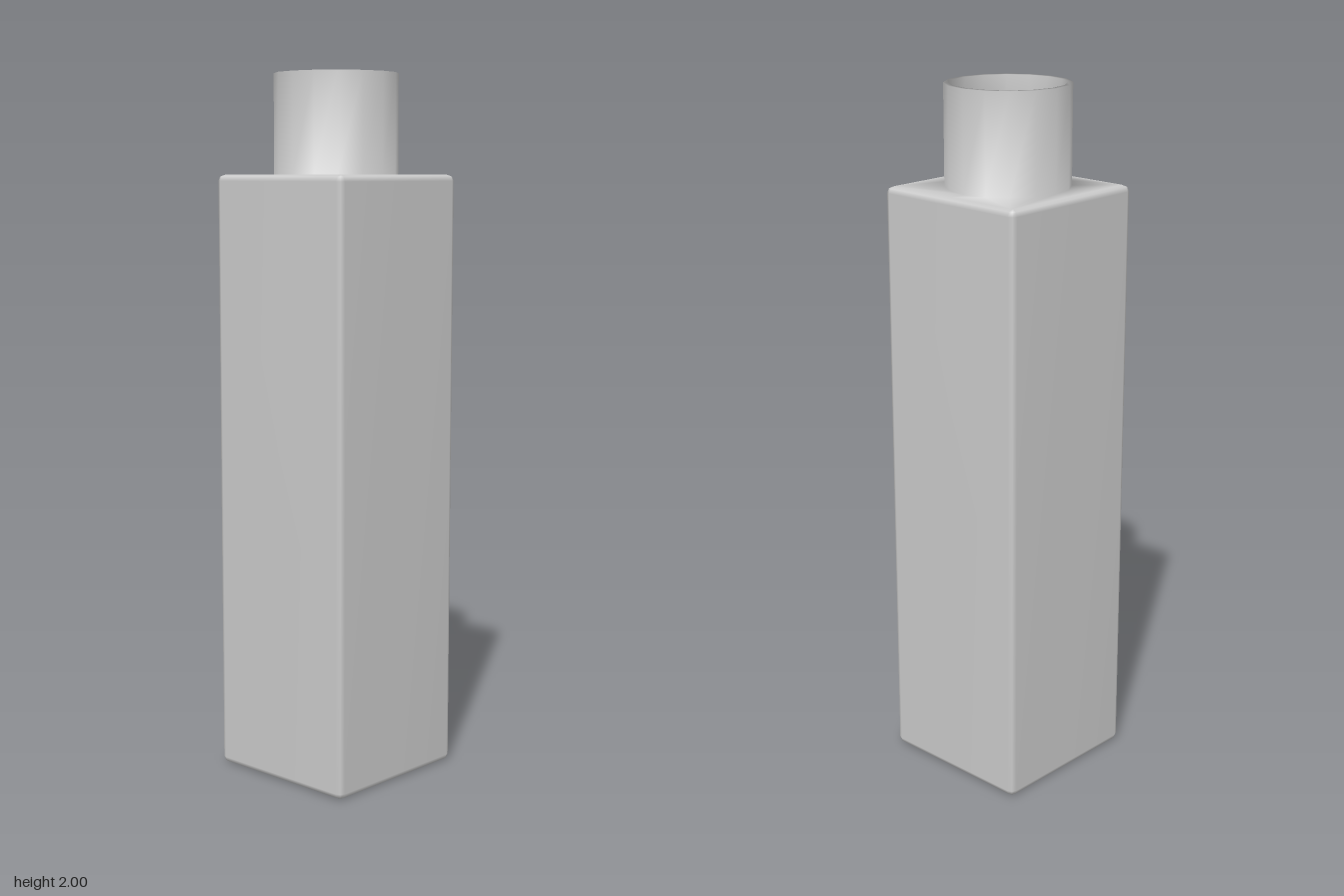
import * as THREE from 'three';

const SIDES = 16;

// Rounded-square ring: side midpoints plus three points round each corner
function squareRing(half, radius, y) {
  const pts = [];
  const c = half - radius;
  for (let q = 0; q < 4; q++) {
    const corner = [[half, 0]];
    for (let k = 0; k < 3; k++) {
      const a = k * Math.PI / 4;
      corner.push([c + radius * Math.cos(a), c + radius * Math.sin(a)]);
    }
    const s = Math.round(Math.sin(q * Math.PI / 2)), t = Math.round(Math.cos(q * Math.PI / 2));
    for (const [x, z] of corner) pts.push([x * t - z * s, y, x * s + z * t]);
  }
  return pts;
}

// Round ring with the same number of points
function roundRing(radius, y) {
  return Array.from({ length: SIDES }, (_, i) => {
    const a = i / SIDES * Math.PI * 2;
    return [radius * Math.cos(a), y, radius * Math.sin(a)];
  });
}

// Skin a sequence of rings into one smooth surface
function loft(rings) {
  const index = [];
  for (let r = 0; r < rings.length - 1; r++) {
    for (let i = 0; i < SIDES; i++) {
      const j = (i + 1) % SIDES;
      const a = r * SIDES + i, b = r * SIDES + j, c = a + SIDES, d = b + SIDES;
      index.push(a, c, b, b, c, d);
    }
  }
  const geo = new THREE.BufferGeometry();
  geo.setAttribute('position', new THREE.Float32BufferAttribute(rings.flat(2), 3));
  geo.setIndex(index);
  geo.computeVertexNormals();
  return geo;
}

export function createModel() {
  const group = new THREE.Group();
  group.name = 'bottle';
  const half = 0.24, bevel = 0.018, shoulder = 1.72, wall = 0.015;
  const neck = 0.175, bore = 0.16, inner = half - wall;
  const mid = bevel * (1 - Math.SQRT1_2);

  const rings = [
    // base and its rounded edge
    squareRing(0, 0, 0),
    squareRing(half - bevel, 0.004, 0),
    squareRing(half - mid, 0.013, mid),
    // straight sides
    squareRing(half, bevel, bevel),
    squareRing(half, bevel, shoulder - bevel),
    // rounded shoulder edge
    squareRing(half - mid, 0.013, shoulder - mid),
    squareRing(half - bevel, 0.004, shoulder),
    // neck, rim and bore
    roundRing(neck, shoulder),
    roundRing(neck, 2),
    roundRing(bore, 2),
    roundRing(bore, shoulder - wall),
    // hollow inside down to the floor
    squareRing(inner, 0.01, shoulder - wall),
    squareRing(inner, 0.01, wall),
    squareRing(0, 0, wall),
  ];

  const bottle = new THREE.Mesh(
    loft(rings),
    new THREE.MeshStandardMaterial({ color: 0xcccccc }),
  );
  bottle.name = 'bottleBody';
  group.add(bottle);
  return group;
}
